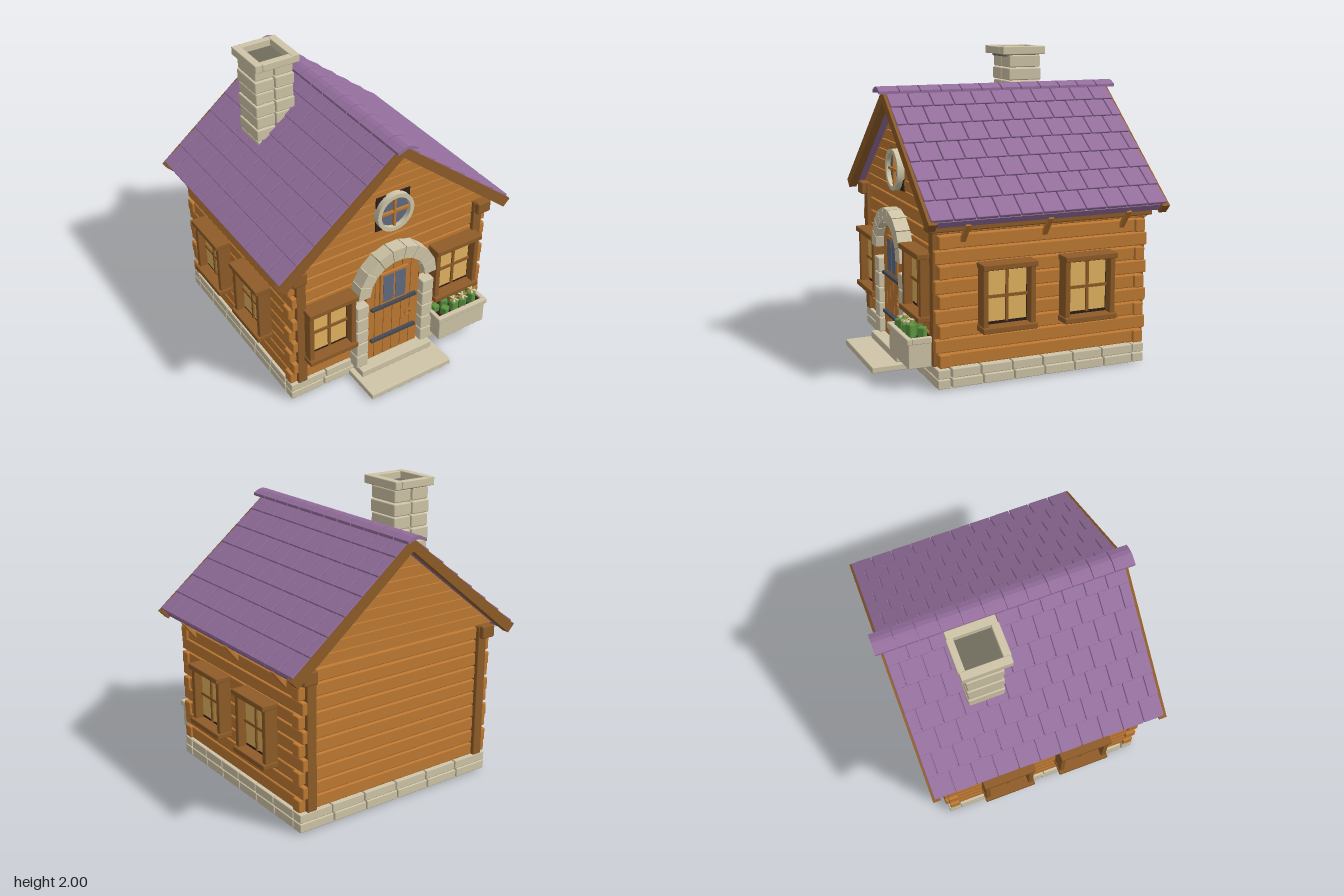
import * as THREE from 'three';
import { RoundedBoxGeometry } from 'three/addons/geometries/RoundedBoxGeometry.js';

const paint = (name, color) => Object.assign(new THREE.MeshStandardMaterial({ color }), { name });
const M = {
  log: paint('log wood', 0xbf7a33), trim: paint('trim wood', 0x8f5c28), dark: paint('dark wood', 0x2e1e19),
  stone: paint('pale stone', 0xd0c5a8), roof: paint('purple shingle', 0x956f9e), glow: paint('amber glass', 0xe2b460),
  glass: paint('blue glass', 0x606a80), leaf: paint('leaf green', 0x5c9440), iron: paint('iron', 0x454a54),
  soot: paint('sooty stone', 0x706d5e),
};
const ZC = -0.075;               // middle of the house in z
const SLOPE = 0.804, PITCH = Math.atan(SLOPE), APEX = 1.75;

function group(parent, name) {
  const g = new THREE.Group();
  g.name = name;
  parent.add(g);
  return g;
}
function add(parent, name, geo, mat, x = 0, y = 0, z = 0) {
  const m = new THREE.Mesh(geo, mat);
  m.name = name;
  m.position.set(x, y, z);
  parent.add(m);
  return m;
}
// box given by its min and max on each axis; r bevels the edges
function block(parent, name, mat, [x0, x1], [y0, y1], [z0, z1], r = 0.006) {
  const s = [x1 - x0, y1 - y0, z1 - z0];
  const geo = r ? new RoundedBoxGeometry(...s, 1, r) : new THREE.BoxGeometry(...s);
  return add(parent, name, geo, mat, (x0 + x1) / 2, (y0 + y1) / 2, (z0 + z1) / 2);
}
function extrude(parent, name, mat, pts, z0, depth) {
  const shape = new THREE.Shape(pts.map(p => new THREE.Vector2(...p)));
  return add(parent, name, new THREE.ExtrudeGeometry(shape, { depth, bevelEnabled: false }), mat, 0, 0, z0);
}

function buildBase(root) {
  const g = group(root, 'foundation');
  block(g, 'floor', M.trim, [-0.69, 0.69], [0.02, 0.13], [-0.72, 0.57], 0);
  for (const row of [0, 1]) {
    const y = [0.01 + row * 0.063, 0.068 + row * 0.063], shift = row * 0.015;
    for (let i = 0; i < 6; i++) {
      const x0 = -0.755 + i * 0.2517 + (i ? shift : 0), x1 = -0.755 + (i + 1) * 0.2517 + (i < 5 ? shift - 0.008 : 0);
      block(g, 'frontStone', M.stone, [x0, x1], y, [0.55, 0.63]);
      block(g, 'backStone', M.stone, [x0, x1], y, [-0.78, -0.70]);
      const z0 = -0.695 + i * 0.2067 + (i ? shift : 0), z1 = -0.695 + (i + 1) * 0.2067 + (i < 5 ? shift : 0) - 0.008;
      for (const s of [-1, 1]) block(g, 'sideStone', M.stone, [s * 0.71 - 0.045, s * 0.71 + 0.045], y, [z0, z1]);
    }
  }
  block(g, 'lowerStep', M.stone, [-0.315, 0.315], [0.005, 0.045], [0.62, 0.91]);
  block(g, 'stepFooting', M.stone, [-0.28, 0.28], [0, 0.045], [0.39, 0.63]);
  block(g, 'upperStep', M.stone, [-0.28, 0.28], [0.045, 0.095], [0.6, 0.74]);
}

function buildWalls(root) {
  const g = group(root, 'walls');
  for (let i = 0; i < 10; i++) {          // interlocking logs
    const y = [0.14 + i * 0.091, 0.223 + i * 0.091], hx = i % 2 ? 0.725 : 0.758, hz = i % 2 ? 0.718 : 0.69;
    for (const s of [-1, 1]) {
      const z = ZC + s * 0.66;
      block(g, 'endLog', M.log, [-hx, hx], y, [z - 0.035, z + 0.035], 0.008);
      block(g, 'sideLog', M.log, [s * 0.7 - 0.042, s * 0.7 + 0.042], y, [ZC - hz, ZC + hz], 0.008);
    }
  }
  for (let i = 0; i < 9; i++) {           // gable logs cut to the roof slope
    const y0 = 1.052 + i * 0.071, y1 = y0 + 0.064;
    const w = y => Math.max((1.715 - y) / SLOPE, 0.004);
    for (const s of [-1, 1])
      extrude(g, 'gableLog', M.log, [[-w(y0), y0], [w(y0), y0], [w(y1), y1], [-w(y1), y1]], ZC + s * 0.66 - 0.035, 0.07);
  }
  for (const s of [-1, 1]) {
    for (const t of [-1, 1]) {
      const z = ZC + t * 0.69;
      block(g, 'cornerPost', M.trim, [s * 0.675 - 0.034, s * 0.675 + 0.034], [0.14, 1.05], [z - 0.03, z + 0.03]);
    }
    block(g, 'eaveBeam', M.trim, [s * 0.7 - 0.052, s * 0.7 + 0.052], [0.97, 1.055], [-0.825, 0.68], 0.01);
    for (const z of [0.46, ZC, -0.61]) {  // braces under the eaves
      const b = add(g, 'eaveBrace', new RoundedBoxGeometry(0.16, 0.026, 0.035, 1, 0.005), M.log, s * 0.775, 0.965, z);
      b.rotation.z = s * 0.9;
    }
  }
}

function buildRoof(root) {
  const g = group(root, 'roof');
  for (const s of [1, -1]) {
    const turn = group(g, s > 0 ? 'leftSlope' : 'rightSlope');
    turn.position.set(0, APEX, -0.08);
    turn.rotation.y = s > 0 ? 0 : Math.PI;
    const slope = group(turn, 'shingles');   // local x runs down the slope
    slope.rotation.z = -PITCH;
    block(slope, 'roofDeck', M.roof, [0, 1.098], [-0.06, -0.012], [-0.755, 0.755], 0);
    for (let r = 0; r < 7; r++) {
      for (let k = 0; k < 12; k++) {
        const start = -0.785 + (k - (r % 2 ? 0.5 : 0)) * 0.1427;
        const z0 = Math.max(start, -0.785), z1 = Math.min(start + 0.1427, 0.785);
        if (z1 - z0 < 0.02) continue;
        const t = add(slope, 'shingle', new RoundedBoxGeometry(0.17, 0.022, z1 - z0 - 0.006, 1, 0.005), M.roof,
          0.156 * (r + 0.5), -0.003, (z0 + z1) / 2);
        t.rotation.z = 0.07;
      }
    }
  }
  const cap = [[-0.07, 1.73], [0, 1.755], [0.07, 1.73], [0.07, 1.748], [0.03, 1.768], [0, 1.775], [-0.03, 1.768], [-0.07, 1.748]];
  for (let i = 0; i < 12; i++) extrude(g, 'ridgeCap', M.roof, cap, -0.908 + i * 0.1396, 0.132);
  const barge = [[0, 1.75], [-0.873, 1.048], [-0.825, 0.998], [0, 1.672], [0.825, 0.998], [0.873, 1.048]];
  for (const z of [-0.875, 0.668]) extrude(g, 'bargeBoard', M.trim, barge, z, 0.052);
}

function buildChimney(root) {
  const g = group(root, 'chimney');
  block(g, 'flue', M.soot, [-0.44, -0.2], [1.93, 1.952], [-0.468, -0.222], 0);
  for (let i = 0; i < 8; i++) {           // two stones per course
    const y = [1.25 + i * 0.0869, 1.331 + i * 0.0869], e = i % 2 ? 0.005 : 0;
    for (const x of [[-0.462 + e, -0.324], [-0.316, -0.178 - e]])
      block(g, 'chimneyStone', M.stone, x, y, [-0.475 + e, -0.235 - e], 0.008);
  }
  for (const x of [[-0.48, -0.427], [-0.22, -0.165]]) block(g, 'capSide', M.stone, x, [1.945, 2], [-0.5, -0.185]);
  for (const z of [[-0.505, -0.46], [-0.23, -0.18]]) block(g, 'capEnd', M.stone, [-0.43, -0.215], [1.947, 1.998], z);
}

// window built on a wall plane facing local +z, centred on its glass
function buildWindow(root, name, x, y, z, turn) {
  const g = group(root, name), w = 0.135, h = 0.16;
  g.position.set(x, y, z);
  g.rotation.y = turn;
  block(g, 'darkFrame', M.dark, [-w - 0.015, w + 0.015], [-h - 0.015, h + 0.015], [-0.02, 0.026], 0);
  block(g, 'pane', M.glow, [-w + 0.005, w - 0.005], [-h + 0.005, h - 0.005], [0.024, 0.031], 0);
  block(g, 'mullion', M.trim, [-0.009, 0.009], [-h, h], [0.028, 0.042], 0);
  block(g, 'crossBar', M.trim, [-w, w], [-0.009, 0.009], [0.028, 0.042], 0);
  for (const s of [-1, 1]) {
    block(g, 'jamb', M.trim, [s * 0.155 - 0.018, s * 0.155 + 0.018], [-h - 0.02, h + 0.02], [-0.01, 0.085]);
    const b = s * (h + 0.034);
    block(g, s > 0 ? 'header' : 'sill', M.trim, [-0.18, 0.18], [b - 0.018, b + 0.018], [-0.01, 0.105]);
  }
}

function buildDoor(root) {
  const g = group(root, 'door'), cy = 0.69;
  const back = new THREE.Shape().moveTo(-0.22, 0.095).lineTo(0.22, 0.095).lineTo(0.22, cy).absarc(0, cy, 0.22, 0, Math.PI, false);
  add(g, 'doorBacking', new THREE.ExtrudeGeometry(back, { depth: 0.05, bevelEnabled: false }), M.dark, 0, 0, 0.59);
  for (let i = 0; i < 6; i++) {            // planks cut to the arch
    const x0 = -0.207 + i * 0.069, x1 = x0 + 0.064;
    const top = x => cy + Math.sqrt(Math.max(0.215 ** 2 - x * x, 0));
    extrude(g, 'plank', M.log, [[x0, 0.1], [x1, 0.1], [x1, top(x1)], [(x0 + x1) / 2, top((x0 + x1) / 2)], [x0, top(x0)]], 0.62, 0.04);
  }
  block(g, 'doorWindowFrame', M.log, [-0.108, 0.108], [0.54, 0.795], [0.64, 0.672]);
  for (const s of [-1, 1]) {
    block(g, 'doorPane', M.glass, [s * 0.047 - 0.04, s * 0.047 + 0.04], [0.56, 0.775], [0.668, 0.675], 0);
    for (let i = 0; i < 5; i++)
      block(g, 'jambStone', M.stone, [s * 0.255 - 0.045, s * 0.255 + 0.045], [0.1 + i * 0.104, 0.2 + i * 0.104], [0.58, 0.7], 0.008);
  }
  for (const y of [0.262, 0.527]) block(g, 'hingeStrap', M.iron, [-0.175, 0.175], [y - 0.009, y + 0.009], [0.65, 0.685], 0);
  add(g, 'ringHandle', new THREE.TorusGeometry(0.022, 0.006, 6, 16), M.log, 0.12, 0.385, 0.67);
  for (let i = 0; i < 9; i++) {            // arch stones
    const a0 = i * Math.PI / 9 + 0.01, a1 = (i + 1) * Math.PI / 9 - 0.01;
    const p = (r, a) => [r * Math.cos(a), cy + r * Math.sin(a)];
    extrude(g, 'archStone', M.stone, [p(0.212, a0), p(0.302, a0), p(0.302, a1), p(0.212, a1)], 0.58, 0.135);
  }
}

function buildRoundWindow(root) {
  const g = group(root, 'roundWindow');
  g.position.set(0, 1.24, 0.62);
  block(g, 'darkOpening', M.dark, [-0.125, 0.125], [-0.125, 0.125], [-0.08, 0.008], 0);
  add(g, 'roundPane', new THREE.CircleGeometry(0.12, 32), M.glass, 0, 0, 0.016);
  const ring = new THREE.Shape().absarc(0, 0, 0.135, 0, Math.PI * 2, false);
  ring.holes.push(new THREE.Path().absarc(0, 0, 0.107, 0, Math.PI * 2, true));
  add(g, 'stoneRing', new THREE.ExtrudeGeometry(ring, { depth: 0.045, bevelEnabled: false, curveSegments: 24 }), M.stone);
  block(g, 'mullion', M.log, [-0.008, 0.008], [-0.112, 0.112], [0.014, 0.034], 0);
  block(g, 'crossBar', M.log, [-0.112, 0.112], [-0.008, 0.008], [0.014, 0.034], 0);
}

function buildPlanter(root) {
  const g = group(root, 'planter');
  block(g, 'trough', M.stone, [0.3, 0.68], [0.135, 0.29], [0.62, 0.79]);
  block(g, 'soil', M.dark, [0.31, 0.67], [0.28, 0.31], [0.63, 0.775], 0);
  block(g, 'frontRim', M.stone, [0.285, 0.692], [0.287, 0.326], [0.768, 0.802]);
  for (const x of [0.3, 0.676]) block(g, 'sideRim', M.stone, [x - 0.015, x + 0.015], [0.287, 0.326], [0.62, 0.77]);
  for (let i = 0; i < 9; i++) {
    const x = 0.335 + i * 0.037, z = i % 2 ? 0.745 : 0.685, top = 0.355 + i * 0.003 + (i * 5 % 4) * 0.006;
    const leaf = block(g, 'leafClump', M.leaf, [x - 0.025, x + 0.025], [0.3, top], [z - 0.025, z + 0.025], 0.01);
    leaf.rotation.y = i * 0.5;
    if (i % 2 && i > 2) for (const a of [0, 1, 2]) {   // small star blossoms
      const petal = add(g, 'blossom', new THREE.BoxGeometry(0.07, 0.006, 0.012), a ? M.stone : M.log, x, top + 0.02, z);
      petal.rotation.set(0, a * Math.PI / 3, 0.15);
    }
  }
}

export function createModel() {
  const root = new THREE.Group();
  root.name = 'logCabin';
  for (const build of [buildBase, buildWalls, buildRoof, buildChimney, buildDoor, buildRoundWindow, buildPlanter]) build(root);
  buildWindow(root, 'frontLeftWindow', 0.484, 0.62, 0.62, 0);
  buildWindow(root, 'frontRightWindow', -0.484, 0.537, 0.62, 0);
  for (const s of [-1, 1])
    for (const z of [0.195, -0.348]) buildWindow(root, 'sideWindow', s * 0.745, 0.562, z, s * Math.PI / 2);
  return root;
}
